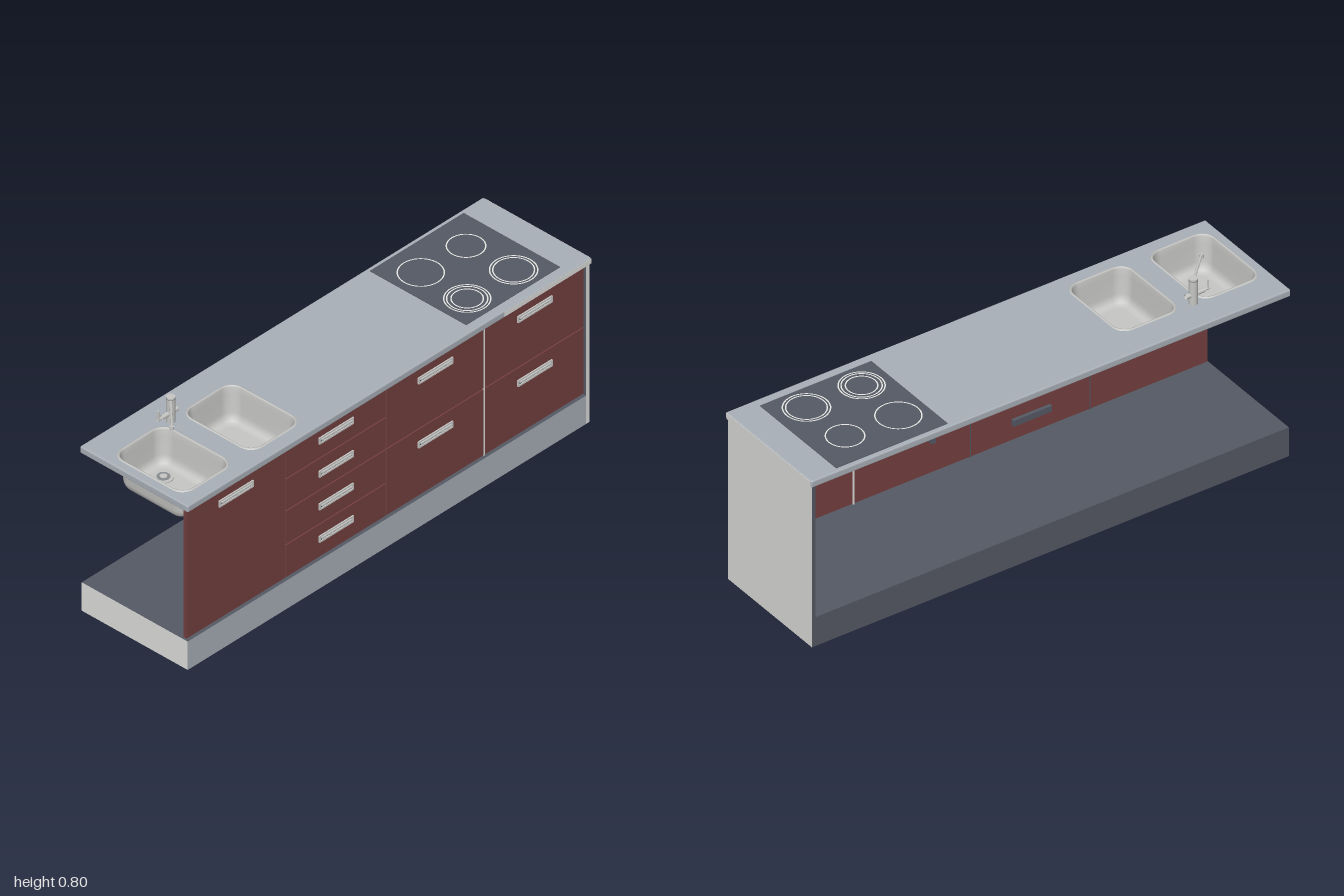
import * as THREE from 'three';

const mat = (name, color, side = THREE.FrontSide) => {
  const m = new THREE.MeshStandardMaterial({ color, side });
  m.name = name;
  return m;
};

export function createModel() {
  const stone = mat('greyWorktop', 0xa9b0b8);
  const slate = mat('darkSlate', 0x545964);
  const red = mat('redFront', 0x743f3f);
  const pale = mat('palePanel', 0xdededc);
  const steel = mat('steel', 0xc6c6c4, THREE.DoubleSide);
  const chrome = mat('darkChrome', 0x8a8d90);
  const mark = mat('hobMarking', 0xeeeeea);
  const root = new THREE.Group();

  const add = (name, geo, material, parent = root) => {
    const m = new THREE.Mesh(geo, material);
    m.name = name;
    parent.add(m);
    return m;
  };
  // Box given by its minimum and maximum corners
  const box = (name, material, x0, x1, y0, y1, z0, z1, parent) => {
    const m = add(name, new THREE.BoxGeometry(x1 - x0, y1 - y0, z1 - z0), material, parent);
    m.position.set((x0 + x1) / 2, (y0 + y1) / 2, (z0 + z1) / 2);
    return m;
  };
  const cyl = (name, material, r, h, x, y, z, parent) => {
    const m = add(name, new THREE.CylinderGeometry(r, r, h, 32), material, parent);
    m.position.set(x, y, z);
    return m;
  };

  // Rounded rectangle as a loop of points
  const roundRect = (cx, cy, hw, hh, r, n = 8) => {
    const pts = [];
    [[1, 1], [-1, 1], [-1, -1], [1, -1]].forEach(([sx, sy], k) => {
      for (let i = 0; i <= n; i++) {
        const a = (k + i / n) * Math.PI / 2;
        pts.push(new THREE.Vector2(
          cx + sx * (hw - r) + r * Math.cos(a), cy + sy * (hh - r) + r * Math.sin(a)));
      }
    });
    return pts;
  };

  // Plinth and end panel
  box('plinth', [slate, pale, slate, slate, stone, slate], -0.995, 0.98, 0, 0.12, -0.25, 0.25);
  box('endPanel', [pale, slate, pale, slate, pale, slate], 0.98, 0.995, 0, 0.666, -0.25, 0.25);

  // Worktop with two sink cut-outs, and a dark underside
  const basins = [
    { x: -0.837, drainX: -0.8 },
    { x: -0.498, drainX: -0.54 },
  ];
  const BW = 0.124, BD = 0.166, BZ = 0.03;
  const slab = (hw, hd, grow) => {
    const s = new THREE.Shape(roundRect(0, 0, hw, hd, 0.001, 1));
    basins.forEach(b => s.holes.push(new THREE.Path(
      roundRect(b.x, -BZ, BW + grow, BD + grow, 0.05))));
    return s;
  };
  const top = add('worktop', new THREE.ExtrudeGeometry(slab(0.995, 0.25, 0.005), {
    depth: 0.018, bevelThickness: 0.005, bevelSize: 0.005, bevelSegments: 3,
  }), stone);
  top.rotation.x = -Math.PI / 2;
  top.position.y = 0.672;
  const under = add('worktopUnderside', new THREE.ExtrudeGeometry(slab(0.994, 0.249, 0.001), {
    depth: 0.003, bevelEnabled: false,
  }), slate);
  under.rotation.x = -Math.PI / 2;
  under.position.y = 0.665;
  box('worktopEndBand', pale, 0.999, 1.001, 0.669, 0.692, -0.25, 0.25);
  box('worktopFrontBand', pale, 0.57, 1, 0.671, 0.691, 0.254, 0.256);

  // Sink basins lofted from rim to floor: [y, inset, corner radius]
  const sections = [
    [0.694, -0.006, 0.055], [0.699, -0.003, 0.053], [0.699, 0.001, 0.05], [0.693, 0.004, 0.048],
    [0.665, 0.006, 0.048], [0.595, 0.011, 0.048], [0.578, 0.015, 0.046], [0.567, 0.023, 0.04],
    [0.562, 0.035, 0.032], [0.561, 0.045, 0.028],
  ];
  basins.forEach(b => {
    const g = new THREE.Group();
    g.name = 'sink';
    root.add(g);
    const pos = [], idx = [];
    let n = 0;
    sections.forEach(([y, inset, r]) => {
      const loop = roundRect(b.x, BZ, BW - inset, BD - inset, r);
      n = loop.length;
      loop.forEach(p => pos.push(p.x, y, p.y));
    });
    pos.push(b.x, 0.56, BZ);
    const last = sections.length - 1;
    for (let i = 0; i < n; i++) {
      const j = (i + 1) % n;
      for (let s = 0; s < last; s++) {
        const a = s * n + i, c = s * n + j;
        idx.push(a, a + n, c, c, a + n, c + n);
      }
      idx.push(last * n + i, (last + 1) * n, last * n + j);
    }
    // Reverse the winding so that the basin faces upward
    for (let i = 0; i < idx.length; i += 3) {
      const [p, q, r] = [idx[i], idx[i + 1], idx[i + 2]].map(k => new THREE.Vector3().fromArray(pos, k * 3));
      if (i === 3 * 2 * last && q.sub(p).cross(r.sub(p)).y > 0) break;
    }
    const geo = new THREE.BufferGeometry();
    geo.setAttribute('position', new THREE.Float32BufferAttribute(pos, 3));
    const up = idx.map((v, i) => (i % 3 === 1 ? idx[i + 1] : i % 3 === 2 ? idx[i - 1] : v));
    geo.setIndex(up);
    geo.computeVertexNormals();
    add('basin', geo, steel, g);

    // Drain, visible from both sides
    cyl('drain', steel, 0.036, 0.01, b.drainX, 0.56, -0.05, g);
    cyl('drainHole', chrome, 0.024, 0.013, b.drainX, 0.56, -0.05, g);
    cyl('drainPlug', steel, 0.013, 0.016, b.drainX, 0.56, -0.05, g);
  });

  // Tap: column, swivelled spout and side lever
  const tap = new THREE.Group();
  tap.name = 'tap';
  tap.position.set(-0.68, 0.695, -0.13);
  root.add(tap);
  cyl('tapColumn', steel, 0.016, 0.105, 0, 0.0525, 0, tap);
  cyl('tapCollar', chrome, 0.0165, 0.003, 0, 0.098, 0, tap);
  const rod = (name, r, ax, ay, az, bx, by, bz) => add(name, new THREE.TubeGeometry(
    new THREE.LineCurve3(new THREE.Vector3(ax, ay, az), new THREE.Vector3(bx, by, bz)),
    1, r, 12), steel, tap);
  rod('spout', 0.005, 0, 0.092, 0, -0.115, 0.092, 0.115);
  cyl('spoutNozzle', steel, 0.008, 0.013, -0.113, 0.088, 0.112, tap);
  rod('leverHub', 0.009, -0.045, 0.038, 0, 0.032, 0.038, 0);
  rod('leverArm', 0.005, -0.068, 0.038, 0, -0.04, 0.038, 0);
  cyl('leverGrip', steel, 0.004, 0.04, -0.062, 0.055, 0, tap);

  // Hob plate and cooking zone rings
  box('hob', slate, 0.42, 0.885, 0.694, 0.697, -0.238, 0.217);
  [
    [0.532, -0.104, [0.083]],
    [0.751, -0.099, [0.07]],
    [0.532, 0.115, [0.083, 0.073, 0.058]],
    [0.762, 0.115, [0.085, 0.074]],
  ].forEach(([x, z, radii]) => radii.forEach(r => {
    const ring = add('cookingZone', new THREE.RingGeometry(r - 0.005, r, 48), mark);
    ring.rotation.x = -Math.PI / 2;
    ring.position.set(x, 0.698, z);
  }));

  // Fronts with recessed handles: [x0, x1, row boundaries, handle heights]
  const frameShape = new THREE.Shape(roundRect(0, 0, 0.086, 0.014, 0.002, 2));
  frameShape.holes.push(new THREE.Path(roundRect(0, 0, 0.079, 0.008, 0.001, 2)));
  const frameGeo = new THREE.ExtrudeGeometry(frameShape, { depth: 0.006, bevelEnabled: false });
  const handle = (x, y) => {
    const g = new THREE.Group();
    g.name = 'handle';
    g.position.set(x, y, 0);
    root.add(g);
    add('handleFrame', frameGeo, steel, g).position.z = 0.239;
    box('handleRecess', slate, -0.08, 0.08, -0.012, 0.012, 0.212, 0.241, g);
    box('handleBar', steel, -0.075, 0.075, 0, 0.006, 0.24, 0.248, g);
  };
  [
    [-0.99, -0.503, [0.122, 0.664], [0.61]],
    [-0.497, -0.004, [0.122, 0.262, 0.405, 0.54, 0.664], [0.2, 0.337, 0.475, 0.615]],
    [0.002, 0.481, [0.122, 0.405, 0.664], [0.34, 0.61]],
    [0.492, 0.976, [0.122, 0.405, 0.664], [0.34, 0.61]],
  ].forEach(([x0, x1, rows, grips]) => grips.forEach((y, i) => {
    box('cabinetFront', red, x0, x1, rows[i] + 0.003, rows[i + 1] - 0.003, 0.226, 0.24);
    handle((x0 + x1) / 2, y);
  }));
  // Dark gap filler behind the joints, pale joint strip and cross rail
  [-0.5, -0.001].forEach(x => box('jointFiller', slate, x - 0.006, x + 0.006, 0.12, 0.665, 0.228, 0.234));
  box('jointStrip', pale, 0.483, 0.49, 0.12, 0.665, 0.226, 0.239);
  box('crossRail', slate, 0.478, 0.494, 0.645, 0.666, -0.25, 0.226);

  return root;
}
